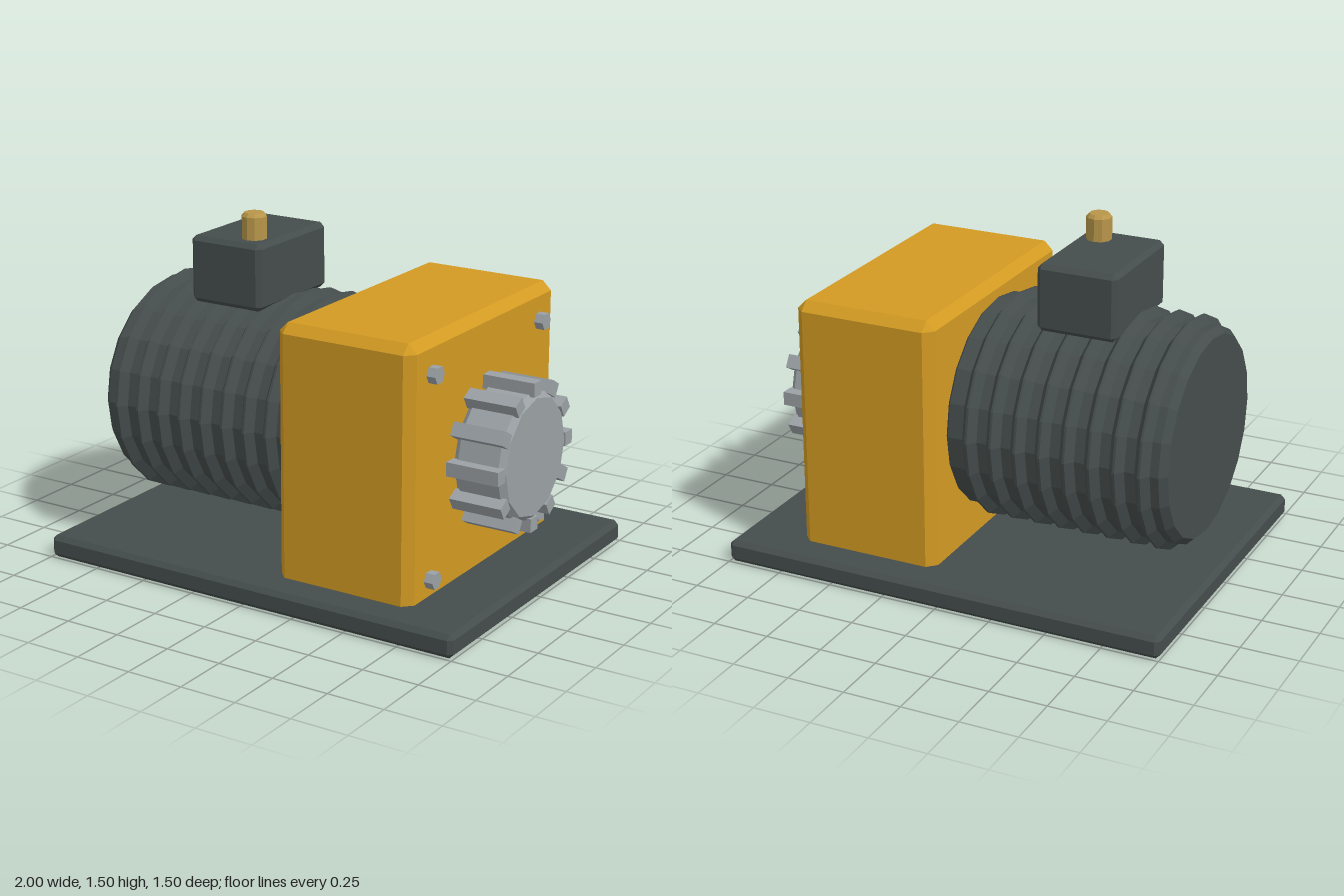
import * as THREE from 'three';
import { ConvexGeometry } from 'three/addons/geometries/ConvexGeometry.js';

const material = (name, color) => {
  const m = new THREE.MeshStandardMaterial({ color, flatShading: true });
  m.name = name;
  return m;
};

// Box with all edges chamfered, given by its min and max corners
function chamferBox(min, max, c) {
  const points = [];
  for (let i = 0; i < 8; i++) {
    const upper = [i & 1, (i >> 1) & 1, (i >> 2) & 1];
    for (let axis = 0; axis < 3; axis++) {
      const p = upper.map((u, k) => {
        const inset = k === axis ? 0 : c;
        return u ? max[k] - inset : min[k] + inset;
      });
      points.push(new THREE.Vector3(...p));
    }
  }
  return new ConvexGeometry(points);
}

// Faceted solid of revolution around y, from [radius, height] pairs
const turned = (profile, sides) =>
  new THREE.LatheGeometry(profile.map(([r, h]) => new THREE.Vector2(r, h)), sides);

// Same, lying along x
const turnedX = (profile, sides) => turned(profile, sides).rotateZ(-Math.PI / 2);

export function createModel() {
  const model = new THREE.Group();
  model.name = 'gearMotor';
  const dark = material('darkCastIron', 0x454d4c);
  const yellow = material('yellowPaint', 0xd29a22);
  const steel = material('steel', 0x9aa0a4);
  const brass = material('brass', 0xb8964a);

  const add = (name, geometry, mat, parent = model) => {
    const mesh = new THREE.Mesh(geometry, mat);
    mesh.name = name;
    parent.add(mesh);
    return mesh;
  };

  add('basePlate', chamferBox([-1, 0, -0.75], [1, 0.1, 0.75], 0.02), dark);
  add('gearboxHousing', chamferBox([0.08, 0.05, -0.6], [0.72, 1.19, 0.6], 0.04), yellow);

  // Motor barrel with eight pointed cooling ribs, slightly flattened in height
  const barrel = [[0, -0.9], [0.45, -0.9], [0.48, -0.87]];
  for (let i = 0; i < 8; i++) {
    const x = -0.8 + i * 0.11;
    barrel.push([0.48, x - 0.033], [0.517, x - 0.005], [0.517, x + 0.005], [0.48, x + 0.033]);
  }
  barrel.push([0.48, 0.07], [0.46, 0.09], [0, 0.09]);
  add('motorBarrel', turnedX(barrel, 20).scale(1, 0.96, 1), dark).position.y = 0.657;

  // Terminal box and cable gland
  add('terminalBox', chamferBox([-0.58, 1.1, -0.26], [-0.225, 1.39, 0.26], 0.02), dark);
  add('cableGland', turned([[0, 0], [0.055, 0], [0.055, 0.115], [0.042, 0.13], [0, 0.13]], 10), brass)
    .position.set(-0.323, 1.372, 0.15);

  // Output sprocket: chamfered hub with twelve block teeth
  const sprocket = new THREE.Group();
  sprocket.name = 'outputSprocket';
  sprocket.position.set(0.72, 0.609, 0);
  model.add(sprocket);
  add('hub', turnedX([[0, 0], [0.255, 0], [0.28, 0.027], [0.28, 0.213], [0.255, 0.238], [0, 0.238]], 12),
    steel, sprocket);
  for (let i = 0; i < 12; i++) {
    const a = (i / 12) * Math.PI * 2;
    const tooth = add('tooth', new THREE.BoxGeometry(0.238, 0.06, 0.06), steel, sprocket);
    tooth.position.set(0.12, Math.cos(a) * 0.293, Math.sin(a) * 0.293);
    tooth.rotation.x = a;
  }

  // Hexagonal cover bolts
  for (const y of [0.177, 1.045]) {
    for (const z of [-0.45, 0.45]) {
      add('coverBolt', turnedX([[0, -0.02], [0.038, -0.02], [0.038, 0.04], [0, 0.04]], 6), steel)
        .position.set(0.72, y, z);
    }
  }
  return model;
}
